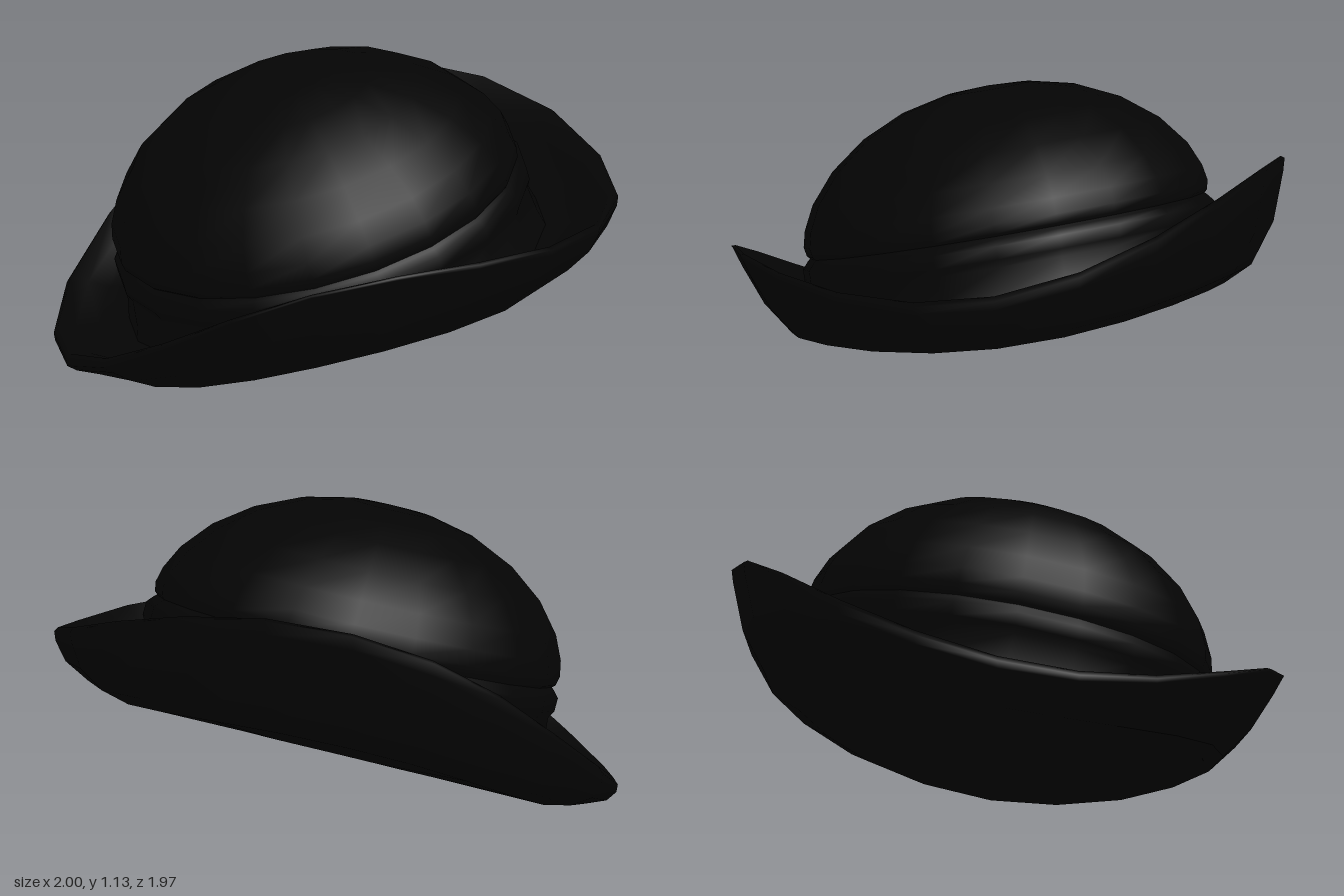
import * as THREE from 'three';

// Outline of the brim seen from above (x, z)
const RIM = [
  [1, 0.08], [0.91, 0.37], [0.72, 0.64], [0.45, 0.84], [0.14, 0.96],
  [-0.17, 0.98], [-0.45, 0.89], [-0.69, 0.69], [-0.87, 0.42], [-0.98, 0.12],
  [-1, -0.18], [-0.93, -0.47], [-0.76, -0.72], [-0.55, -0.9], [-0.3, -0.99],
  [-0.01, -0.99], [0.3, -0.91], [0.59, -0.74], [0.82, -0.51], [0.96, -0.23],
];
const N = RIM.length;

// The whole hat rests on a sloping plane
const tilt = (x, z) => 0.25 * x - 0.17 * z;

// Brim ring: the outline scaled by s, at height h, lifted by p to the left and
// by q towards the front, with its sides rolled up by k
const brimRing = ([s, h, p, q, k]) => RIM.map(([rx, rz]) => {
  const x = rx * s, z = rz * s, w = z - 0.1 * x;
  return [x, h + p * x + q * z + k * w * w + tilt(x, z), z];
});

// Crown ring: a circle whose centre leans with the hat as it rises
const crownRing = ([r, h]) => RIM.map((_, i) => {
  const a = ((i + 0.3) / N) * Math.PI * 2;
  const x = -0.26 * (h - 0.35) + r * Math.cos(a);
  const z = -0.035 + 0.125 * (h - 0.35) + r * Math.sin(a);
  return [x, h + tilt(x, z), z];
});

// Smooth skin over a stack of rings
function loft(name, rings, material) {
  const index = [];
  for (let i = 0; i < rings.length - 1; i++) {
    for (let j = 0; j < N; j++) {
      const a = i * N + j, b = i * N + ((j + 1) % N);
      index.push(a, a + N, b, b, a + N, b + N);
    }
  }
  const geo = new THREE.BufferGeometry();
  geo.setAttribute('position', new THREE.Float32BufferAttribute(rings.flat(2), 3));
  geo.setIndex(index);
  geo.computeVertexNormals();
  const mesh = new THREE.Mesh(geo, material);
  mesh.name = name;
  return mesh;
}

export function createModel() {
  const felt = new THREE.MeshStandardMaterial({ color: 0x040404 });
  felt.name = 'black felt';

  const hat = new THREE.Group();
  hat.name = 'hat';

  // Closed underside of the hat
  const sole = [[0, 0.205, 0, 0, 0], [0.4, 0.203, 0, 0.055, 0.18], [0.78, 0.2, 0, 0.055, 0.18]];
  hat.add(loft('sole', sole.map(brimRing), felt));

  // Brim: underside outwards, round the rim, then back in over the top
  const brim = [
    [0.78, 0.2, 0, 0.055, 0.18], [0.88, 0.233, 0, 0.09, 0.215],
    [0.96, 0.275, 0.01, 0.085, 0.3], [0.995, 0.325, 0.03, 0.03, 0.36],
    [1, 0.355, 0.035, 0.01, 0.355], [0.985, 0.375, 0.035, 0.005, 0.35],
    [0.92, 0.352, 0.025, 0.005, 0.3], [0.84, 0.328, 0.01, 0, 0.21],
    [0.77, 0.33, 0, 0, 0.17], [0.69, 0.35, 0, 0, 0.13],
  ];
  hat.add(loft('brim', brim.map(brimRing), felt));

  // Band round the foot of the crown, with a raised upper edge
  const band = [
    [0.745, 0.33], [0.73, 0.4], [0.72, 0.5], [0.735, 0.53],
    [0.735, 0.58], [0.715, 0.605], [0.69, 0.63],
  ];
  hat.add(loft('band', band.map(crownRing), felt));

  // Domed crown meeting the band in a shallow groove
  const crown = [
    [0.69, 0.6], [0.715, 0.625], [0.722, 0.66], [0.71, 0.72], [0.67, 0.81],
    [0.585, 0.92], [0.46, 1.02], [0.31, 1.093], [0.15, 1.132], [0, 1.142],
  ];
  hat.add(loft('crown', crown.map(crownRing), felt));

  return hat;
}
